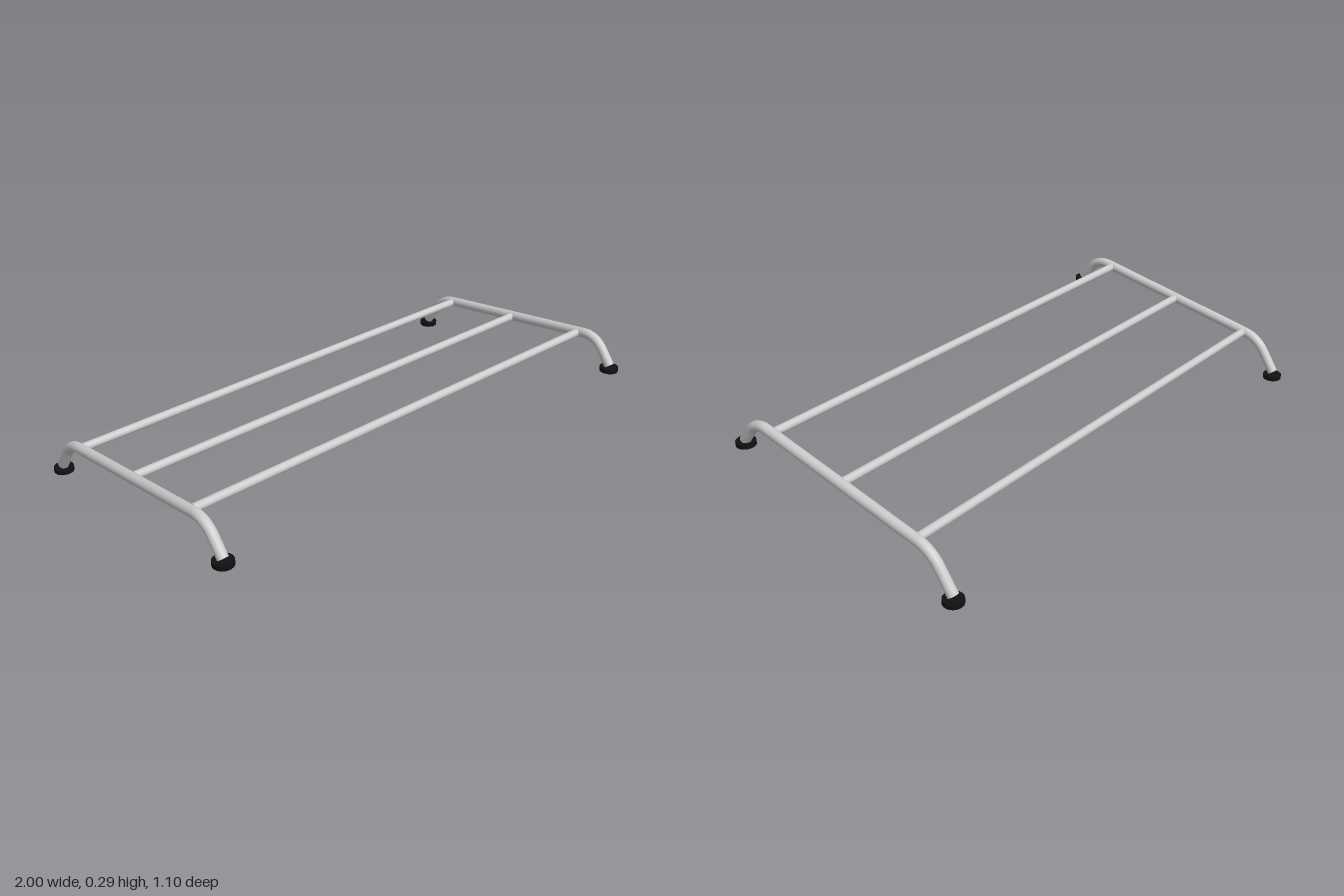
import * as THREE from 'three';

const V = (y, z) => new THREE.Vector3(0, y, z);
const steel = new THREE.MeshStandardMaterial({ color: 0xcccccc });
const rubber = new THREE.MeshStandardMaterial({ color: 0x111111 });

const SIDE_X = 0.963;
const TUBE_R = 0.02;
const ROD_R = 0.016;
const PAD_R = 0.037;
const PAD_H = 0.017;

// Side rail centre line: front foot, front bend, back bend, back foot
const POINTS = [V(0.177, 0.515), V(0.282, 0.432), V(0.157, -0.422), V(0.027, -0.512)];

// Straight runs joined by rounded bends
function bentPath(points, bend) {
  const path = new THREE.CurvePath();
  let from = points[0];
  for (let i = 1; i < points.length - 1; i++) {
    const p = points[i];
    const a = p.clone().add(points[i - 1].clone().sub(p).setLength(bend));
    const b = p.clone().add(points[i + 1].clone().sub(p).setLength(bend));
    path.add(new THREE.LineCurve3(from, a));
    path.add(new THREE.CubicBezierCurve3(a, a.clone().lerp(p, 0.64), b.clone().lerp(p, 0.64), b));
    from = b;
  }
  path.add(new THREE.LineCurve3(from, points[points.length - 1]));
  return path;
}

function sideFrame(name) {
  const group = new THREE.Group();
  group.name = name;

  // Bent tube
  const path = bentPath(POINTS, 0.06);
  const rail = new THREE.Mesh(new THREE.TubeGeometry(path, 96, TUBE_R, 20, false), steel);
  rail.name = 'sideRail';
  group.add(rail);

  for (const t of [0, 1]) {
    const label = t === 0 ? 'front' : 'back';
    const end = path.getPoint(t);

    // Flat tube end, square to the tube
    const cap = new THREE.Mesh(new THREE.CircleGeometry(TUBE_R, 20), steel);
    cap.name = label + 'TubeEnd';
    cap.position.copy(end);
    const outward = path.getTangent(t).multiplyScalar(t === 0 ? -1 : 1);
    cap.quaternion.setFromUnitVectors(new THREE.Vector3(0, 0, 1), outward);
    group.add(cap);

    // Foot pad
    const pad = new THREE.Mesh(new THREE.CylinderGeometry(PAD_R, PAD_R, PAD_H, 32), rubber);
    pad.name = label + 'FootPad';
    pad.position.set(0, (t === 0 ? 0.156 : 0) + PAD_H / 2, end.z);
    group.add(pad);
  }
  return group;
}

export function createModel() {
  const model = new THREE.Group();
  model.name = 'slopingRack';

  for (const side of [1, -1]) {
    const frame = sideFrame(side > 0 ? 'leftFrame' : 'rightFrame');
    frame.position.x = side * SIDE_X;
    model.add(frame);
  }

  // Cross rods on the slope of the side rails
  const [, top, low] = POINTS;
  const slope = (top.y - low.y) / (top.z - low.z);
  ['backRod', 'middleRod', 'frontRod'].forEach((name, i) => {
    const z = -0.355 + i * 0.351;
    const rod = new THREE.Mesh(new THREE.CylinderGeometry(ROD_R, ROD_R, 1.9, 20), steel);
    rod.name = name;
    rod.rotation.z = Math.PI / 2;
    rod.position.set(0, low.y + slope * (z - low.z), z);
    model.add(rod);
  });

  return model;
}
